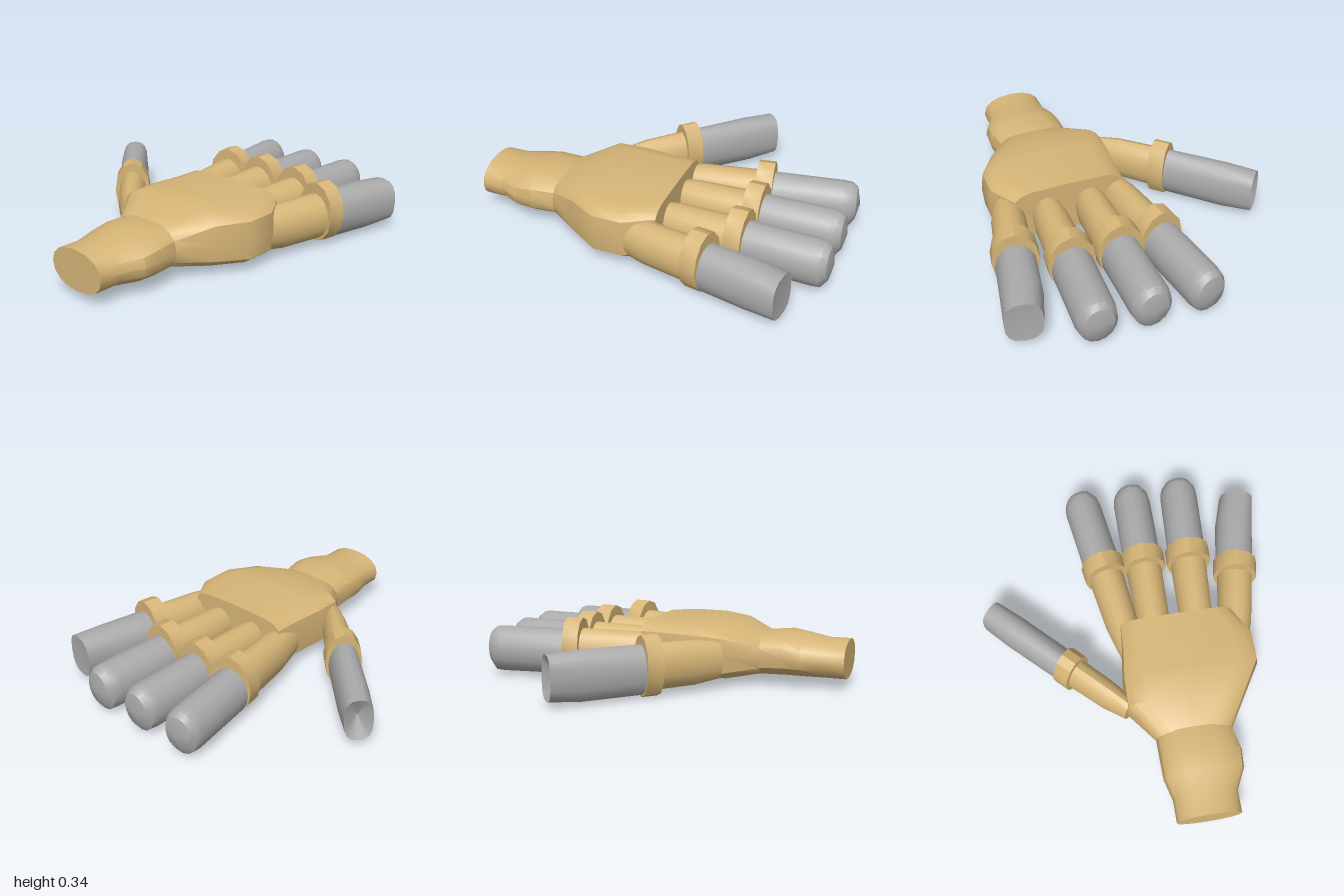
import * as THREE from 'three';
import { toCreasedNormals } from 'three/addons/utils/BufferGeometryUtils.js';

const skin = new THREE.MeshStandardMaterial({ color: 0xd6b577 });
const grey = new THREE.MeshStandardMaterial({ color: 0xaaaaaa });

// Closed loft through sections [z, cx, cy, rx, ry, power], ordered from +z to -z.
// power 1 is an ellipse, smaller values are boxier; bulge pushes the far cap out.
function loft(name, material, sections, bulge = 0, sides = 16) {
  const pos = [], index = [];
  const rounded = (v, p) => Math.sign(v) * Math.pow(Math.abs(v), p);
  for (const [z, cx, cy, rx, ry, p = 1] of sections) {
    for (let j = 0; j < sides; j++) {
      const a = (j / sides) * Math.PI * 2;
      pos.push(cx + rx * rounded(Math.cos(a), p), cy + ry * rounded(Math.sin(a), p), z);
    }
  }
  const n = sections.length, first = sections[0], last = sections[n - 1];
  pos.push(first[1], first[2], first[0], last[1], last[2], last[0] - bulge);
  for (let j = 0; j < sides; j++) {
    const k = (j + 1) % sides, end = (n - 1) * sides;
    for (let i = 0; i < n - 1; i++) {
      const r = i * sides, s = r + sides;
      index.push(r + j, s + j, r + k, r + k, s + j, s + k);
    }
    index.push(n * sides, j, k, n * sides + 1, end + k, end + j);
  }
  const geo = new THREE.BufferGeometry();
  geo.setAttribute('position', new THREE.Float32BufferAttribute(pos, 3));
  geo.setIndex(index);
  const mesh = new THREE.Mesh(toCreasedNormals(geo, 0.6), material);
  mesh.name = name;
  return mesh;
}

// Finger: tapered base, raised cuff at the local origin, grey outer segment
function finger({ name, x, z, dir, base, length, w, h = 0.13, cuffY = 0.18, blunt = false, notch = 0, lean = 0 }) {
  const g = new THREE.Group();
  g.name = name;
  const y = 0.15, L = length;
  g.add(loft(name + 'Base', skin, [
    [base, 0, y + 0.01, w * 0.62, 0.1],
    [base * 0.65, 0, y + 0.01, w * 0.87, 0.12],
    [0, 0, y + 0.01, w * 0.95, 0.125],
  ]));
  g.add(loft(name + 'Cuff', skin, [
    [0.045, 0, cuffY, w + 0.017, 0.163],
    [-0.045, 0, cuffY, w + 0.017, 0.163],
  ], 0, 12));
  const tip = blunt
    ? [[-L + 0.17, 0, y, w, h, 0.85], [-L, lean, y + 0.003, w * 0.9, h * 0.9, 0.75]]
    : [[-L + 0.1, 0, y, w, h], [-L + 0.055, 0, y, w * 0.92, h * 0.97], [-L + 0.025, 0, y + 0.01, w * 0.7, h * 0.72]];
  g.add(loft(name + 'Segment', grey, [[-0.03, 0, y, w, h], ...tip], blunt ? -notch : 0.02));
  g.position.set(x, 0, z);
  g.rotation.y = Math.atan2(-dir[0], -dir[1]);
  return g;
}

export function createModel() {
  const hand = new THREE.Group();
  hand.name = 'hand';

  // Forearm stub, flaring at the wrist
  hand.add(loft('wrist', skin, [
    [1.0, 0.235, 0.155, 0.173, 0.106, 0.9],
    [0.88, 0.235, 0.155, 0.173, 0.106, 0.9],
    [0.77, 0.248, 0.162, 0.216, 0.113, 0.85],
    [0.67, 0.25, 0.17, 0.22, 0.12, 0.8],
    [0.53, 0.235, 0.163, 0.205, 0.112, 0.7],
  ]));

  // Broad palm with steep sides and a slightly crowned top
  hand.add(loft('palm', skin, [
    [0.55, 0.237, 0.163, 0.206, 0.107, 0.65],
    [0.375, 0.225, 0.182, 0.325, 0.146, 0.45],
    [0.22, 0.273, 0.183, 0.372, 0.148, 0.4],
    [0.06, 0.283, 0.183, 0.362, 0.148, 0.4],
    [-0.09, 0.243, 0.185, 0.313, 0.146, 0.4],
  ]));

  // Four fingers and the thumb
  const fingers = [
    { name: 'indexFinger', x: -0.095, z: -0.47, dir: [-0.07, -0.47], base: 0.52, length: 0.515, w: 0.105 },
    { name: 'middleFinger', x: 0.13, z: -0.485, dir: [0, -1], base: 0.5, length: 0.495, w: 0.107 },
    { name: 'ringFinger', x: 0.388, z: -0.48, dir: [0.025, -0.5], base: 0.5, length: 0.5, w: 0.108 },
    { name: 'littleFinger', x: 0.637, z: -0.36, dir: [0.085, -0.45], base: 0.46, length: 0.455, w: 0.106, blunt: true, notch: 0.01, lean: 0.012 },
    { name: 'thumb', x: -0.365, z: 0.08, dir: [-0.69, -0.68], base: 0.4, length: 0.55, w: 0.082, h: 0.133, cuffY: 0.168, blunt: true, notch: 0.06 },
  ];
  for (const f of fingers) hand.add(finger(f));
  return hand;
}
